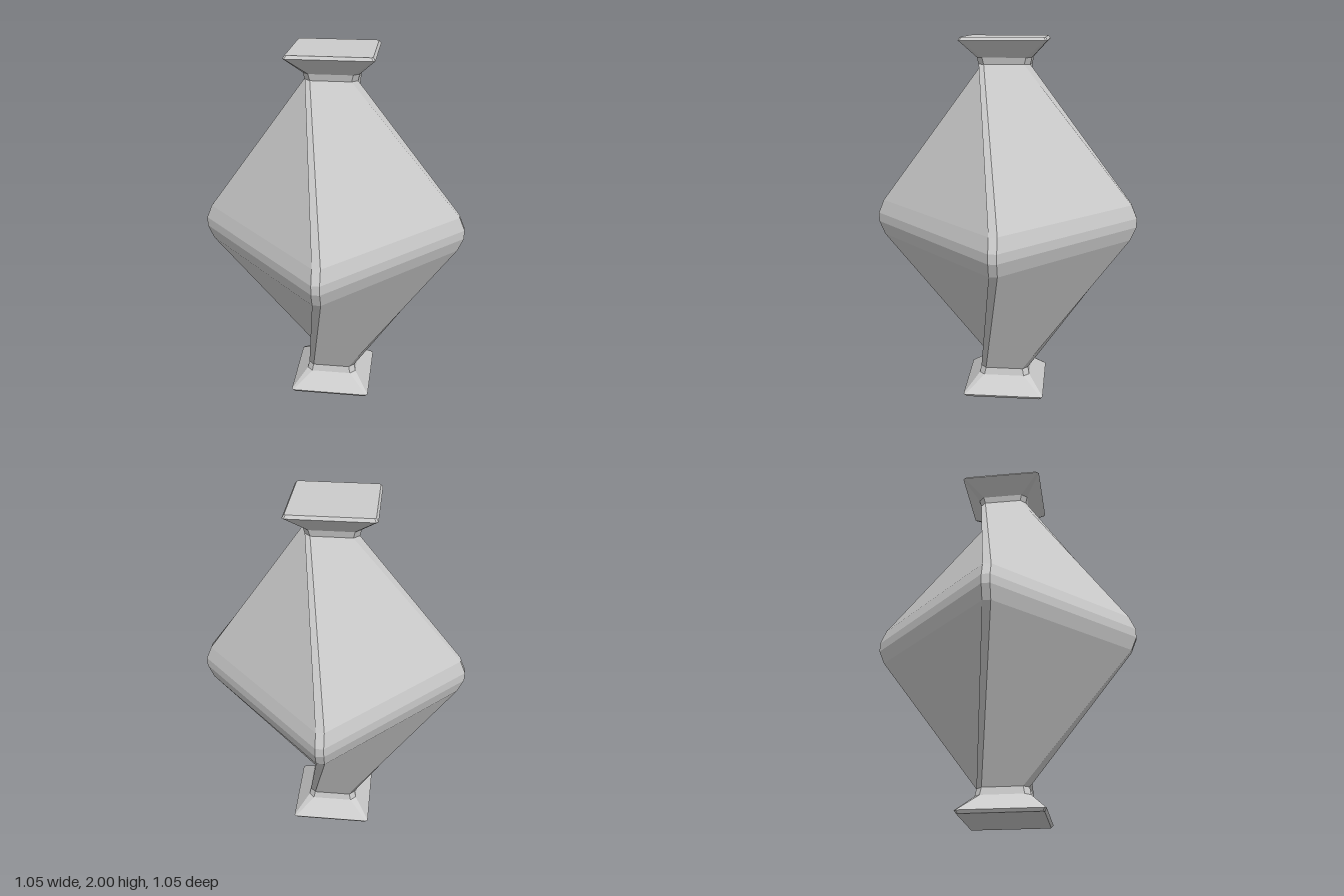
import * as THREE from 'three';

// Square ring with cut corners: 8 points, left to right as seen from outside.
// A turned ring is rotated 45 degrees, so its corners lie on the x and z axes.
function ring(y, half, cut, turned) {
  const angle = turned ? Math.PI / 4 : 0;
  const points = [];
  for (let side = 0; side < 4; side++) {
    const t = angle - side * Math.PI / 2;
    for (const x of [-half + cut, half - cut]) {
      points.push(new THREE.Vector3(
        x * Math.cos(t) - half * Math.sin(t), y,
        x * Math.sin(t) + half * Math.cos(t)));
    }
  }
  return points;
}

// Joins rings from bottom to top; every panel has one flat normal, even when twisted.
function loft(rings, name, closeBottom, closeTop) {
  const positions = [], normals = [];
  const add = (n, ...points) => points.forEach((p) => {
    positions.push(p.x, p.y, p.z);
    normals.push(n.x, n.y, n.z);
  });

  for (let r = 0; r < rings.length - 1; r++) {
    const low = rings[r], high = rings[r + 1];
    for (let i = 0; i < 8; i++) {
      const j = (i + 1) % 8;
      const a = low[i], b = low[j], c = high[j], d = high[i];
      const n = c.clone().sub(a).cross(d.clone().sub(b)).normalize();
      // The fold of the twisted panels mirrors about the middle
      if (a.y + c.y > 2) add(n, a, b, d, b, c, d);
      else add(n, a, b, c, a, c, d);
    }
  }

  const up = new THREE.Vector3(0, 1, 0), down = new THREE.Vector3(0, -1, 0);
  const first = rings[0], last = rings[rings.length - 1];
  for (let i = 1; i < 7; i++) {
    if (closeBottom) add(down, first[0], first[i + 1], first[i]);
    if (closeTop) add(up, last[0], last[i], last[i + 1]);
  }

  const geometry = new THREE.BufferGeometry();
  geometry.setAttribute('position', new THREE.Float32BufferAttribute(positions, 3));
  geometry.setAttribute('normal', new THREE.Float32BufferAttribute(normals, 3));
  const mesh = new THREE.Mesh(geometry, new THREE.MeshStandardMaterial({ color: 0xcccccc }));
  mesh.name = name;
  return mesh;
}

export function createModel() {
  const group = new THREE.Group();
  group.name = 'twistedVase';

  // Body: wide square belt twisting to narrow turned necks
  group.add(loft([
    ring(0.145, 0.135, 0.03, true),
    ring(0.9, 0.505, 0.03, false),
    ring(0.975, 0.527, 0.03, false),
    ring(1.025, 0.527, 0.03, false),
    ring(1.1, 0.505, 0.03, false),
    ring(1.86, 0.135, 0.03, true),
  ], 'body', false, false));

  // Flared foot and lip share one profile: [distance from end, half width, corner cut]
  const flare = [[0, 0.215, 0.008], [0.016, 0.226, 0.01], [0.105, 0.143, 0.03], [0.145, 0.135, 0.03]];
  const foot = flare.map(([y, half, cut]) => ring(y, half, cut, true));
  const lip = flare.map(([y, half, cut]) => ring(y === 0.145 ? 1.86 : 2 - y, half, cut, true)).reverse();
  group.add(loft(foot, 'foot', true, false));
  group.add(loft(lip, 'lip', false, true));

  return group;
}
